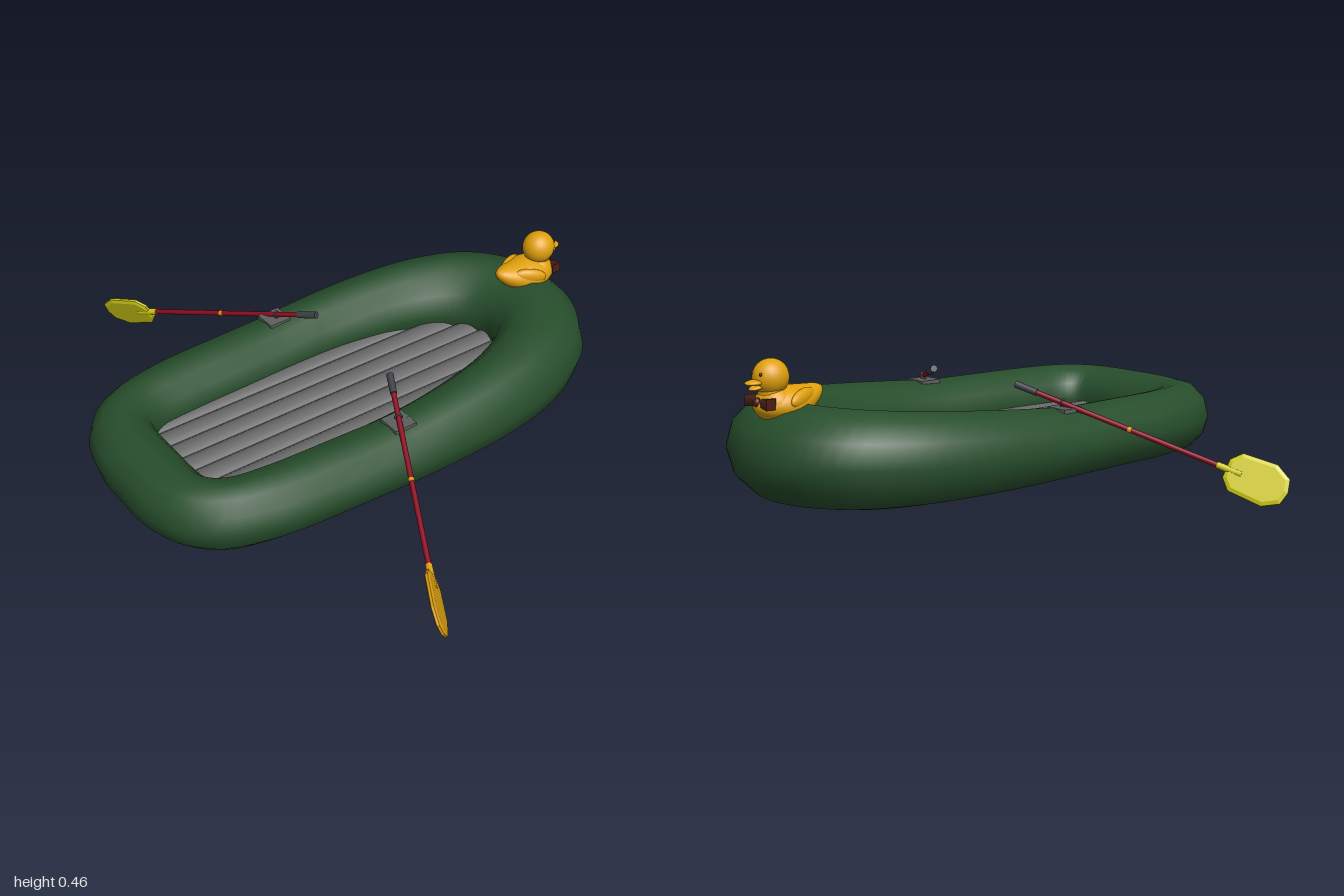
import * as THREE from 'three';

const V = (x, y, z) => new THREE.Vector3(x, y, z);

function mesh(name, geometry, color, parent) {
  const m = new THREE.Mesh(geometry, new THREE.MeshStandardMaterial({ color }));
  m.name = name;
  parent.add(m);
  return m;
}

// Round bar between two points
function rod(name, a, b, ra, rb, color, parent) {
  const d = b.clone().sub(a);
  const m = mesh(name, new THREE.CylinderGeometry(rb, ra, d.length(), 16), color, parent);
  m.position.copy(a).addScaledVector(d, 0.5);
  m.quaternion.setFromUnitVectors(V(0, 1, 0), d.normalize());
  return m;
}

function ball(name, pos, size, color, parent) {
  const m = mesh(name, new THREE.SphereGeometry(1, 24, 16), color, parent);
  m.position.set(...pos);
  m.scale.set(...size);
  return m;
}

// Inflated ring: twelve-sided sections spanning an outer and an inner outline
function hullGeometry() {
  // outer x, outer z, inner x, inner z from stern to bow
  const half = [
    [-0.89, 0, -0.66, 0], [-0.885, 0.13, -0.66, 0.11], [-0.84, 0.27, -0.65, 0.17],
    [-0.735, 0.375, -0.61, 0.2], [-0.55, 0.434, -0.5, 0.212], [-0.3, 0.455, -0.28, 0.22],
    [0.07, 0.467, 0.03, 0.228], [0.35, 0.452, 0.22, 0.21], [0.565, 0.405, 0.37, 0.18],
    [0.745, 0.31, 0.48, 0.132], [0.85, 0.165, 0.545, 0.07], [0.886, 0, 0.565, 0],
  ];
  const loop = [...half, ...half.slice(1, -1).reverse().map(([a, b, c, d]) => [a, -b, c, -d])];
  const outer = new THREE.CatmullRomCurve3(loop.map(p => V(p[0], 0, p[1])), true);
  const inner = new THREE.CatmullRomCurve3(loop.map(p => V(p[2], 0, p[3])), true);
  const N = 88, M = 12, pos = [], idx = [];
  for (let i = 0; i < N; i++) {
    const o = outer.getPoint(i / N), n = inner.getPoint(i / N);
    const c = o.clone().add(n).multiplyScalar(0.5), r = o.clone().sub(n).multiplyScalar(0.5);
    const k = THREE.MathUtils.clamp((c.x + 0.1) / 0.82, 0, 1);
    const top = 0.25 + 0.07 * k, bottom = 0.025 - 0.02 * k;
    for (let j = 0; j < M; j++) {
      const a = (j / M) * Math.PI * 2;
      pos.push(c.x + r.x * Math.cos(a),
        (top + bottom) / 2 + ((top - bottom) / 2) * Math.sin(a),
        c.z + r.z * Math.cos(a) + 0.006);
      const i2 = ((i + 1) % N) * M, j2 = (j + 1) % M;
      idx.push(i * M + j, i2 + j, i2 + j2, i * M + j, i2 + j2, i * M + j2);
    }
  }
  const g = new THREE.BufferGeometry();
  g.setAttribute('position', new THREE.Float32BufferAttribute(pos, 3));
  g.setIndex(idx);
  g.computeVertexNormals();
  return g;
}

// Oar with grip, band, lock and blade, running from start along dir
function addOar(name, start, dir, bladeColor, parent) {
  const oar = new THREE.Group(), s = Math.sign(start.z);
  oar.name = name;
  parent.add(oar);
  dir.normalize();
  const at = t => start.clone().addScaledVector(dir, t);
  rod('shaft', at(0.03), at(0.76), 0.0085, 0.0085, 0x8c0c20, oar);
  rod('grip', at(-0.005), at(0.07), 0.012, 0.011, 0x3c4046, oar);
  rod('band', at(0.39), at(0.402), 0.0098, 0.0098, 0xd89c10, oar);
  rod('bladeSocket', at(0.69), at(0.77), 0.0105, 0.012, bladeColor, oar);

  // Flat blade with chamfered corners
  const outline = [[0, -0.03], [0.03, -0.062], [0.14, -0.068], [0.19, -0.04],
    [0.2, 0], [0.19, 0.04], [0.14, 0.068], [0.03, 0.062], [0, 0.03]];
  const shape = new THREE.Shape(outline.map(p => new THREE.Vector2(...p)));
  const g = new THREE.ExtrudeGeometry(shape, {
    depth: 0.008, bevelEnabled: true, bevelSize: 0.012, bevelOffset: -0.012,
    bevelThickness: 0.005, bevelSegments: 1,
  });
  g.translate(0, 0, -0.004);
  const blade = mesh('blade', g, bladeColor, oar);
  const across = V(-0.42, 0.9, 0);
  across.addScaledVector(dir, -across.dot(dir)).normalize();
  blade.quaternion.setFromRotationMatrix(
    new THREE.Matrix4().makeBasis(dir, across, dir.clone().cross(across)));
  blade.position.copy(at(0.72));

  // Mount plate and lock ring on the hull
  const plate = mesh('oarMount', new THREE.BoxGeometry(0.08, 0.014, 0.08), 0x5c605c, oar);
  plate.position.set(-0.07, 0.248, 0.352 * s);
  const lock = mesh('oarLock', new THREE.TorusGeometry(0.011, 0.003, 8, 16), 0x505050, oar);
  lock.position.copy(at(0.16));
  lock.quaternion.setFromUnitVectors(V(0, 0, 1), dir);
  rod('lockPin', V(-0.07, 0.25, 0.35 * s), at(0.16), 0.004, 0.004, 0x505050, oar);
}

// Toy duck perched on the bow
function addDuck(parent) {
  const duck = new THREE.Group(), gold = 0xe0a00c, brown = 0x4a1f16;
  duck.name = 'duck';
  parent.add(duck);

  // Body narrows and lifts toward the tail
  const g = new THREE.SphereGeometry(1, 32, 20), p = g.attributes.position;
  for (let i = 0; i < p.count; i++) {
    const x = p.getX(i), k = Math.max(0, -x);
    p.setXYZ(i, x < 0 ? x * 1.2 : x,
      p.getY(i) * (1 - 0.2 * k) + 0.6 * k * k, p.getZ(i) * (1 - 0.3 * k));
  }
  g.computeVertexNormals();
  const body = mesh('body', g, gold, duck);
  body.scale.set(0.108, 0.056, 0.077);
  body.position.set(0.745, 0.317, 0);

  for (const s of [-1, 1]) {
    // Wings follow the taper of the body
    const wing = ball(s > 0 ? 'rightWing' : 'leftWing', [0.72, 0.338, 0.052 * s],
      [0.06, 0.026, 0.018], gold, duck);
    wing.rotation.set(0, -0.4 * s, -0.18);
    ball('eye', [0.846, 0.416, 0.022 * s], [0.005, 0.006, 0.005], brown, duck);
    // Bow tie half, pinched at the knot
    const bow = mesh('bowTieHalf', new THREE.CylinderGeometry(0.024, 0.014, 0.056, 4, 1), brown, duck);
    bow.geometry.rotateY(Math.PI / 4);
    bow.geometry.rotateX((Math.PI / 2) * s);
    bow.position.set(0.836, 0.33, 0.03 * s);
  }
  ball('bowTieKnot', [0.845, 0.33, 0], [0.014, 0.015, 0.013], brown, duck);
  ball('breast', [0.787, 0.32, 0], [0.058, 0.057, 0.066], gold, duck);
  rod('neck', V(0.79, 0.33, 0), V(0.798, 0.38, 0), 0.046, 0.04, gold, duck);
  ball('head', [0.797, 0.402, 0], [0.057, 0.056, 0.054], gold, duck);
  const upper = ball('upperBill', [0.852, 0.391, 0], [0.034, 0.009, 0.026], gold, duck);
  upper.rotation.z = -0.06;
  const lower = ball('lowerBill', [0.845, 0.377, 0], [0.029, 0.008, 0.021], gold, duck);
  lower.rotation.z = -0.25;
  duck.position.z = 0.004;
}

export function createModel() {
  const model = new THREE.Group();
  model.name = 'inflatableBoat';
  mesh('hull', hullGeometry(), 0x274e2c, model);

  // Floor of seven overlapping lengthwise tubes, ends buried in the hull
  const floor = new THREE.Group();
  floor.name = 'floor';
  model.add(floor);
  for (let i = -3; i <= 3; i++) {
    const z = i * 0.0745, end = 0.7 - 2.2 * z * z;
    const tube = rod('floorTube', V(-0.75, 0, 0), V(end, 0, 0), 0.049, 0.049, 0x656565, floor);
    tube.position.y = 0.085;
    tube.position.z = z + 0.005;
  }

  addOar('rightOar', V(0, 0.315, 0.213), V(-0.43, -0.294, 0.855), 0xd89c10, model);
  addOar('leftOar', V(0, 0.315, -0.206), V(-0.41, -0.294, -0.863), 0xd2cc14, model);
  addDuck(model);
  return model;
}
